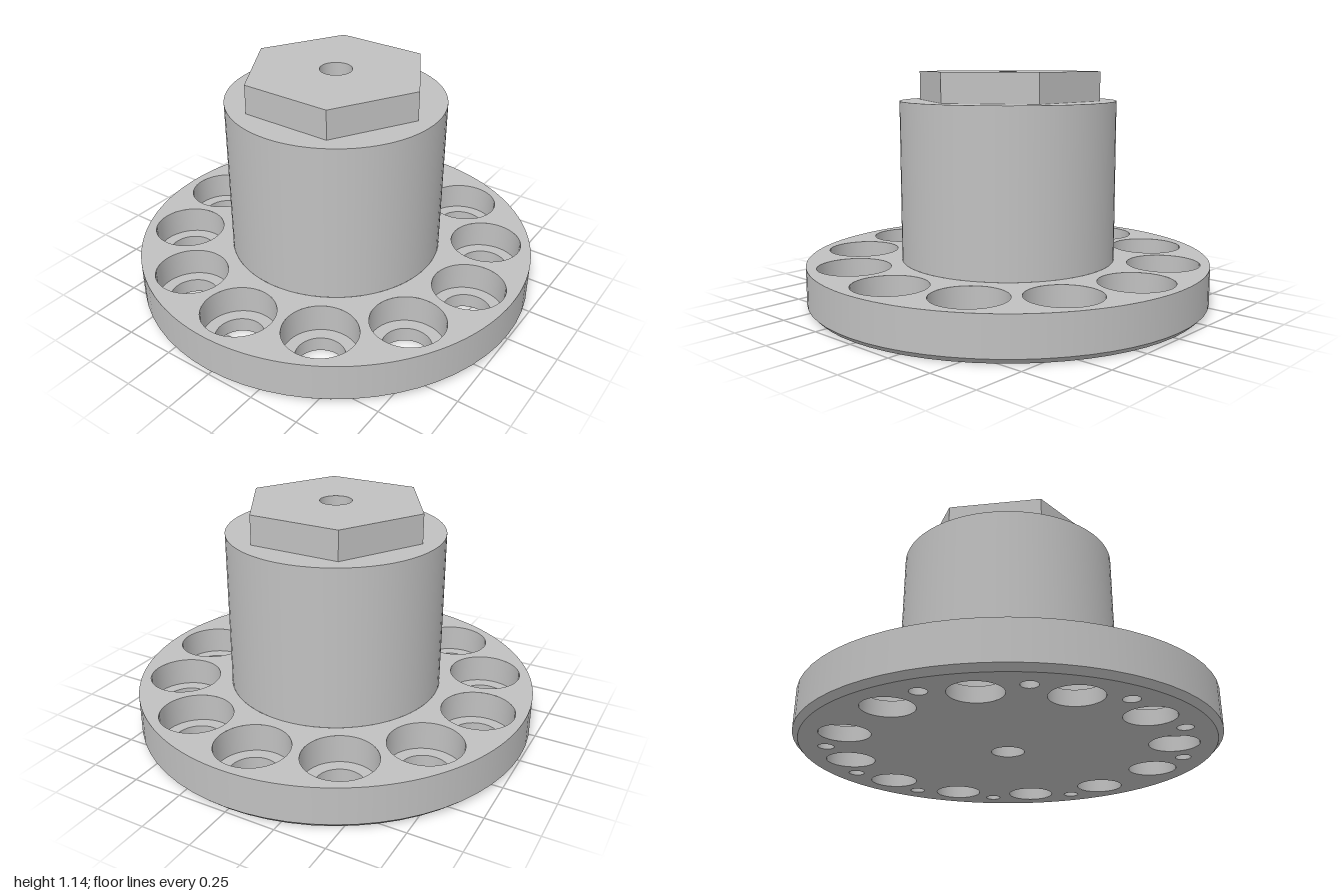
import * as THREE from 'three';
import { mergeGeometries } from 'three/addons/utils/BufferGeometryUtils.js';

const SEG = 64;
const PLATE_TOP = 0.213, HUB_TOP = 1.0, HEX_TOP = 1.143;
const HUB_R = 0.533, HEX_R = 0.455, BORE_R = 0.078;
const CHAMFER = 0.027;
const BOLT = { ring: 0.776, r: 0.117, boreR: 0.177, ledge: 0.073 };
const PIN = { ring: 0.85, r: 0.038, depth: 0.1 };

// Revolve a profile with sharp edges between its straight segments.
// Profiles running upward face outward, downward face inward.
function turned(profile) {
  const bands = [];
  for (let i = 0; i < profile.length - 1; i++) {
    const pair = [profile[i], profile[i + 1]].map(([r, y]) => new THREE.Vector2(r, y));
    bands.push(new THREE.LatheGeometry(pair, SEG));
  }
  return mergeGeometries(bands);
}

function circle(r, x = 0, y = 0) {
  return new THREE.Path().absarc(x, y, r, 0, Math.PI * 2, true);
}

// Flat horizontal face with holes, turned up or down; outline y is -z (up) or +z (down)
function face(outline, holes, y, up) {
  const shape = new THREE.Shape(outline);
  shape.holes.push(...holes);
  const geo = new THREE.ShapeGeometry(shape, SEG);
  geo.rotateX(up ? -Math.PI / 2 : Math.PI / 2);
  return geo.translate(0, y, 0);
}

function ringPoints(ring, startDeg, skip = []) {
  const points = [];
  for (let k = 0; k < 12; k++) {
    if (skip.includes(k)) continue;
    const a = THREE.MathUtils.degToRad(startDeg + 30 * k);
    points.push({ x: ring * Math.cos(a), z: -ring * Math.sin(a) });
  }
  return points;
}

export function createModel() {
  const model = new THREE.Group();
  const grey = new THREE.MeshStandardMaterial({ color: 0xc0c0c0 });
  grey.name = 'machinedGrey';
  const add = (name, geometry, x = 0, z = 0) => {
    const mesh = new THREE.Mesh(geometry, grey);
    mesh.name = name;
    mesh.position.set(x, 0, z);
    model.add(mesh);
  };

  const bolts = ringPoints(BOLT.ring, 0);
  // two opposite positions have no pin hole
  const pins = ringPoints(PIN.ring, 15, [2, 8]);

  // Flange: chamfered rim, top face and bottom face
  add('flangeRim', turned([[1 - CHAMFER, 0], [1, CHAMFER], [1, PLATE_TOP]]));
  add('flangeTop', face(circle(1).getPoints(SEG),
    [circle(HUB_R), ...bolts.map(p => circle(BOLT.boreR, p.x, -p.z))], PLATE_TOP, true));
  add('flangeBottom', face(circle(1 - CHAMFER).getPoints(SEG), [
    circle(BORE_R),
    ...bolts.map(p => circle(BOLT.r, p.x, p.z)),
    ...pins.map(p => circle(PIN.r, p.x, p.z)),
  ], 0, false));

  // Counterbored through holes
  const boltHole = turned([
    [BOLT.boreR, PLATE_TOP], [BOLT.boreR, BOLT.ledge], [BOLT.r, BOLT.ledge], [BOLT.r, 0],
  ]);
  for (const p of bolts) add('boltHole', boltHole, p.x, p.z);

  // Blind pin holes in the underside
  const pinHole = mergeGeometries([
    turned([[PIN.r, PIN.depth], [PIN.r, 0]]),
    turned([[0, PIN.depth], [PIN.r, PIN.depth]]),
  ]);
  for (const p of pins) add('pinHole', pinHole, p.x, p.z);

  // Hub cylinder with its shoulder
  add('hub', turned([[HUB_R, PLATE_TOP], [HUB_R, HUB_TOP], [BORE_R, HUB_TOP]]));

  // Hexagonal head, corners toward front and back
  const sides = new THREE.CylinderGeometry(HEX_R, HEX_R, HEX_TOP - HUB_TOP, 6, 1, true).toNonIndexed();
  sides.computeVertexNormals();
  sides.translate(0, (HUB_TOP + HEX_TOP) / 2, 0);
  add('hexSides', sides);
  const corners = Array.from({ length: 6 }, (_, i) => new THREE.Vector2(
    HEX_R * Math.sin(i * Math.PI / 3), HEX_R * Math.cos(i * Math.PI / 3)));
  add('hexTop', face(corners, [circle(BORE_R)], HEX_TOP, true));

  // Centre bore through the whole part
  add('centreBore', turned([[BORE_R, HEX_TOP], [BORE_R, 0]]));

  return model;
}
